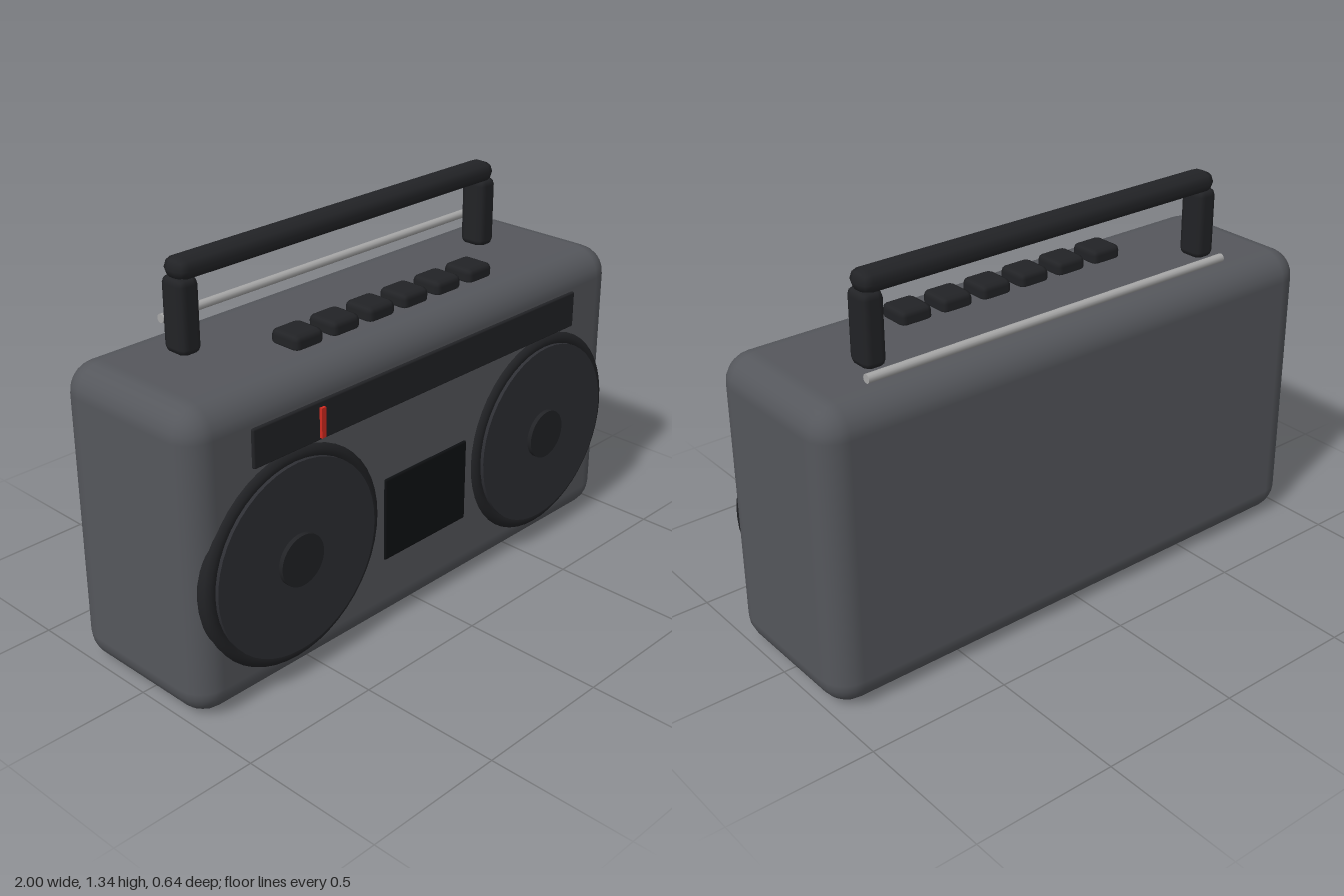
import * as THREE from 'three';
import { RoundedBoxGeometry } from 'three/addons/geometries/RoundedBoxGeometry.js';

const mat = (color) => new THREE.MeshStandardMaterial({ color });

export function createModel() {
  const model = new THREE.Group();
  model.name = 'portableStereo';

  const shell = mat(0x55575c);
  const dark = mat(0x222326);
  const coneGrey = mat(0x2e2f34);
  const black = mat(0x0f1113);
  const red = mat(0xd42a20);
  const metal = mat(0xa8a8a8);

  const add = (name, geometry, material, x, y, z, parent = model) => {
    const mesh = new THREE.Mesh(geometry, material);
    mesh.name = name;
    mesh.position.set(x, y, z);
    parent.add(mesh);
    return mesh;
  };
  const rounded = (w, h, d, r, segments = 1) => new RoundedBoxGeometry(w, h, d, segments, r);
  // Disc facing +z
  const disc = (r, depth) => new THREE.CylinderGeometry(r, r, depth, 48).rotateX(Math.PI / 2);

  // Main case
  add('body', rounded(2, 1.04, 0.6, 0.1, 3), shell, 0, 0.52, -0.02);

  // Speakers: rim, cone plate and centre cap
  for (const side of [-1, 1]) {
    const speaker = new THREE.Group();
    speaker.name = side > 0 ? 'leftSpeaker' : 'rightSpeaker';
    speaker.position.set(side * 0.6, 0.44, 0);
    model.add(speaker);
    add('speakerRim', new THREE.TorusGeometry(0.342, 0.03, 10, 48), dark, 0, 0, 0.265, speaker);
    add('speakerCone', disc(0.33, 0.06), coneGrey, 0, 0, 0.274, speaker);
    add('speakerCap', disc(0.088, 0.04), dark, 0, 0, 0.3, speaker);
  }

  // Tuning dial with its needle, and the cassette window
  add('tuningDial', rounded(1.52, 0.13, 0.04, 0.006), dark, 0, 0.865, 0.27);
  add('tuningNeedle', new THREE.BoxGeometry(0.018, 0.1, 0.02), red, -0.485, 0.86, 0.29);
  add('cassetteWindow', rounded(0.4, 0.3, 0.04, 0.008), black, 0, 0.4, 0.267);

  // Row of push buttons
  for (let i = 0; i < 6; i++) {
    add('button' + (i + 1), rounded(0.12, 0.06, 0.12, 0.02), dark, -0.4 + i * 0.16, 1.056, 0.1);
  }

  // Carrying handle
  for (const side of [-1, 1]) {
    add(side > 0 ? 'leftHandlePost' : 'rightHandlePost',
      rounded(0.08, 0.25, 0.1, 0.025), dark, side * 0.685, 1.157, -0.1);
  }
  add('handleBar', rounded(1.44, 0.075, 0.1, 0.036), dark, 0, 1.304, -0.1);

  // Folded antenna
  add('antenna', new THREE.CylinderGeometry(0.015, 0.015, 1.44, 12).rotateZ(Math.PI / 2),
    metal, 0.08, 1.083, -0.26);

  return model;
}
